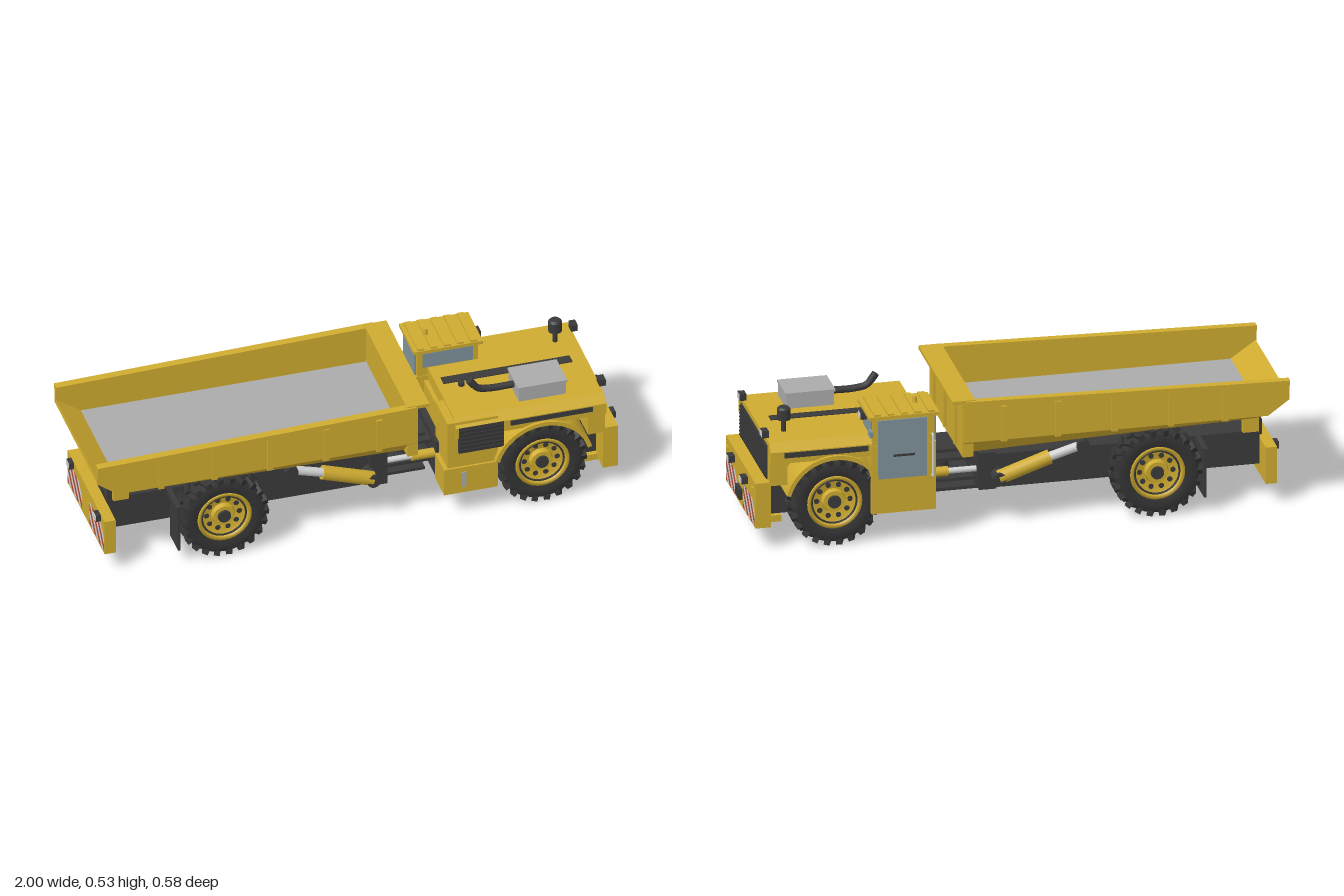
import * as THREE from 'three';

const mat = (name, color, side = THREE.FrontSide) => {
  const m = new THREE.MeshStandardMaterial({ color, side });
  m.name = name;
  return m;
};

export function createModel() {
  const gold = mat('gold paint', 0xcfab30), dark = mat('dark steel', 0x3a3a3b), rubber = mat('rubber', 0x343434);
  const grey = mat('grey steel', 0xababab), glass = mat('glass', 0x7f939b), pale = mat('pale metal', 0xd2d2d2);
  const red = mat('red', 0xb24c3a);
  const model = new THREE.Group();
  model.name = 'dumpTruck';
  const truck = new THREE.Group();
  truck.name = 'truck';
  truck.position.z = 0.01;
  model.add(truck);

  const add = (name, geo, m, parent = truck) => {
    const mesh = new THREE.Mesh(geo, m);
    mesh.name = name;
    parent.add(mesh);
    return mesh;
  };
  const box = (name, m, x0, x1, y0, y1, z0, z1) => {
    const mesh = add(name, new THREE.BoxGeometry(x1 - x0, y1 - y0, Math.abs(z1 - z0)), m);
    mesh.position.set((x0 + x1) / 2, (y0 + y1) / 2, (z0 + z1) / 2);
    return mesh;
  };
  // cylinder between two points
  const rod = (name, m, a, b, r, r2 = r, seg = 16) => {
    const p = new THREE.Vector3(...a), q = new THREE.Vector3(...b), d = q.clone().sub(p);
    const mesh = add(name, new THREE.CylinderGeometry(r2, r, d.length(), seg), m);
    mesh.position.copy(p).add(q).multiplyScalar(0.5);
    mesh.quaternion.setFromUnitVectors(new THREE.Vector3(0, 1, 0), d.normalize());
    return mesh;
  };
  const shape = pts => new THREE.Shape(pts.map(p => new THREE.Vector2(...p)));
  // side profile (x, y) extruded from z0 to z1
  const slab = (pts, z0, z1) =>
    new THREE.ExtrudeGeometry(shape(pts), { depth: z1 - z0, bevelEnabled: false }).translate(0, 0, z0);

  // Wheels: lathe tyre, slanted lugs, dished rim with holes and hub
  const wheel = (x, s) => {
    const g = new THREE.Group();
    g.name = x > 0 ? 'frontWheel' : 'rearWheel';
    g.position.set(x, 0.168, s * 0.21);
    if (s < 0) g.rotation.y = Math.PI;
    truck.add(g);
    const tyre = [[0.098, -0.04], [0.12, -0.047], [0.145, -0.046], [0.154, -0.038], [0.154, 0.038], [0.145, 0.046], [0.12, 0.047], [0.098, 0.04]];
    add('tyre', new THREE.LatheGeometry(tyre.map(p => new THREE.Vector2(...p)), 40).rotateX(Math.PI / 2), rubber, g);
    for (let i = 0; i < 22; i++) for (const k of [1, -1]) {
      const a = (i + (k > 0 ? 0.5 : 0)) / 22 * Math.PI * 2;
      const geo = new THREE.BoxGeometry(0.022, 0.022, 0.046).rotateY(k * 0.35).translate(0, 0.155, k * 0.025);
      add('treadLug', geo.rotateZ(a), rubber, g);
    }
    const rim = [[0, 0.018], [0.08, 0.018], [0.088, 0.04], [0.102, 0.043], [0.102, -0.043], [0, -0.043]];
    add('rim', new THREE.LatheGeometry(rim.map(p => new THREE.Vector2(...p)).reverse(), 32).rotateX(Math.PI / 2), gold, g);
    add('rimRing', new THREE.TorusGeometry(0.083, 0.004, 6, 32).translate(0, 0, 0.034), dark, g);
    for (let i = 0; i < 10; i++) {
      const a = i / 10 * Math.PI * 2;
      add('rimHole', new THREE.CylinderGeometry(0.01, 0.01, 0.006, 10).rotateX(Math.PI / 2)
        .translate(0.062 * Math.cos(a), 0.062 * Math.sin(a), 0.018), dark, g);
    }
    add('hub', new THREE.CylinderGeometry(0.04, 0.046, 0.02, 20).rotateX(Math.PI / 2).translate(0, 0, 0.026), gold, g);
    add('hubCap', new THREE.CylinderGeometry(0.024, 0.026, 0.02, 16).rotateX(Math.PI / 2).translate(0, 0, 0.034), dark, g);
  };

  // Warning panel of diagonal stripes, facing +x (dir 1) or -x (dir -1)
  const stripes = (x, y, z, dir) => {
    const W = 0.183, H = 0.097, step = 0.03;
    const low = c => [Math.min(c, W), Math.max(0, c - W)], high = c => [Math.max(0, c - H), Math.min(c, H)];
    for (let i = 0; i < 8; i++) {
      const a = i * step, b = a + step, pts = [low(a)];
      if (a < W && W < b) pts.push([W, 0]);
      pts.push(low(b), high(b));
      if (a < H && H < b) pts.push([0, H]);
      if (i) pts.push(high(a));
      const geo = new THREE.ShapeGeometry(shape(pts)).rotateY(dir * Math.PI / 2);
      add('warningStripe', geo, i % 2 ? pale : red).position.set(x, y, z);
    }
  };

  // Work lamp facing +x or -x
  const lamp = (x, y, z, dir = 1) => {
    box('lampHousing', dark, x - 0.012, x + 0.012, y - 0.013, y + 0.013, z - 0.018, z + 0.018);
    box('lampLens', pale, x + dir * 0.0125 - 0.002, x + dir * 0.0125 + 0.002, y - 0.01, y + 0.01, z - 0.015, z + 0.015);
    box('lampFoot', dark, x - 0.004, x + 0.004, y - 0.02, y - 0.012, z - 0.004, z + 0.004);
  };

  for (const x of [0.682, -0.515]) for (const s of [1, -1]) wheel(x, s);

  // Dump body: tapered underside, floor, walls, rails, ribs, chute and canopy
  const hull = slab([[-0.92, 0.365], [-0.89, 0.335], [0.205, 0.302], [0.205, 0.365]], -0.272, 0.272);
  const hp = hull.attributes.position;
  for (let i = 0; i < hp.count; i++) if (hp.getY(i) < 0.35) hp.setZ(i, hp.getZ(i) * 0.8);
  hull.computeVertexNormals();
  add('bodyUnderside', hull, gold);
  box('bodyFloor', grey, -0.908, 0.175, 0.364, 0.37, -0.262, 0.262);
  add('rearChute', slab([[-1, 0.42], [-0.92, 0.362], [-0.905, 0.371], [-0.998, 0.435]], -0.268, 0.268), gold);
  box('bodyFrontWall', gold, 0.17, 0.21, 0.302, 0.52, -0.262, 0.262);
  box('bodyCanopy', gold, 0.165, 0.25, 0.514, 0.527, -0.272, 0.272);
  for (const z of [-0.17, 0, 0.17]) box('frontWallRib', gold, 0.2, 0.222, 0.32, 0.515, z - 0.01, z + 0.01);
  for (const s of [1, -1]) {
    const [a, b] = s > 0 ? [0.26, 0.272] : [-0.272, -0.26];
    add('bodySide', slab([[-1, 0.49], [-1, 0.42], [-0.92, 0.362], [0.205, 0.362], [0.205, 0.522], [0.17, 0.52]], a, b), gold);
    const [c, d] = s > 0 ? [0.25, 0.28] : [-0.28, -0.25];
    add('bodyRail', slab([[-1, 0.476], [0.2, 0.507], [0.2, 0.524], [-1, 0.495]], c, d), gold);
    for (const x of [-0.76, -0.56, -0.35, -0.14, 0.06]) box('sideRib', gold, x - 0.011, x + 0.011, 0.358, 0.495, s * 0.268, s * 0.28);
  }

  // Rear chassis, bumper and tipping gear
  box('rearFrame', dark, -0.92, 0.1, 0.12, 0.25, -0.135, 0.135);
  box('rearAxle', dark, -0.56, -0.47, 0.12, 0.21, -0.2, 0.2);
  box('rearBumper', gold, -0.962, -0.92, 0.08, 0.222, -0.235, 0.235);
  for (const z of [-0.232, 0.05]) stripes(-0.9635, 0.09, z, -1);
  for (const z of [-0.17, 0.17]) lamp(-0.968, 0.208, z, -1);
  rod('bodyPivot', gold, [-0.89, 0.275, -0.13], [-0.89, 0.275, 0.13], 0.024);
  for (const s of [1, -1]) {
    box('pivotBracket', dark, -0.925, -0.86, 0.24, 0.3, s * 0.13, s * 0.15);
    box('pivotEar', gold, -0.91, -0.85, 0.26, 0.345, s * 0.152, s * 0.17);
    box('mudFlap', dark, -0.693, -0.685, 0.06, 0.25, s * 0.16, s * 0.262);
    box('mudFlapArm', dark, -0.7, -0.68, 0.225, 0.25, s * 0.13, s * 0.262);
    rod('tipRod', pale, [-0.25, 0.28, s * 0.19], [-0.1, 0.236, s * 0.19], 0.017);
    rod('tipBarrel', gold, [-0.13, 0.245, s * 0.19], [0.06, 0.18, s * 0.19], 0.027);
    rod('tipUpperPin', dark, [-0.25, 0.28, s * 0.16], [-0.25, 0.28, s * 0.215], 0.025);
    rod('tipLowerPin', dark, [0.06, 0.18, s * 0.13], [0.06, 0.18, s * 0.215], 0.025);
    rod('steerRod', pale, [0.11, 0.19, s * 0.11], [0.25, 0.19, s * 0.11], 0.011);
    rod('steerBarrel', gold, [0.23, 0.19, s * 0.11], [0.33, 0.19, s * 0.11], 0.018);
  }

  // Articulation joint
  box('jointBlock', dark, 0.06, 0.125, 0.125, 0.268, -0.16, 0.16);
  for (const y of [0.1, 0.135, 0.215, 0.25]) box('jointPlate', dark, 0.08, y > 0.12 && y < 0.24 ? 0.34 : 0.29, y, y + 0.012, -0.08, 0.08);
  rod('jointPin', dark, [0.23, 0.1, 0], [0.23, 0.262, 0], 0.028);

  // Front module: frame, engine box, hood and side boxes
  box('frontFrame', dark, 0.315, 0.917, 0.1, 0.255, -0.145, 0.145);
  box('frontAxle', dark, 0.64, 0.725, 0.12, 0.21, -0.2, 0.2);
  box('engineBox', gold, 0.34, 0.91, 0.25, 0.36, -0.15, 0.15);
  const hood = shape([[-0.26, 0.34], [0.26, 0.34], [0.26, 0.385], [0.23, 0.413], [-0.23, 0.413], [-0.26, 0.385]]);
  add('hood', new THREE.ExtrudeGeometry(hood, { depth: 0.565, bevelEnabled: false }).rotateY(Math.PI / 2).translate(0.355, 0, 0), gold);
  box('nose', gold, 0.855, 0.92, 0.25, 0.36, -0.245, 0.245);
  box('sideBox', gold, 0.325, 0.515, 0.1, 0.405, 0.1, 0.25);
  box('sideBoxStep', gold, 0.31, 0.51, 0.1, 0.21, 0.14, 0.258);
  box('sideLatch', grey, 0.375, 0.393, 0.125, 0.19, 0.257, 0.261);
  box('sideLouvrePanel', dark, 0.365, 0.535, 0.275, 0.385, 0.24, 0.262);
  for (let i = 0; i < 6; i++) box('sideLouvre', rubber, 0.368, 0.532, 0.283 + i * 0.017, 0.29 + i * 0.017, 0.26, 0.267);
  for (const s of [1, -1]) {
    box('hoodVent', dark, 0.56, 0.87, 0.361, 0.381, s * 0.256, s * 0.263);
    const arch = new THREE.Shape();
    arch.absarc(0, 0, 0.188, 0.26, Math.PI - 0.26, false);
    arch.absarc(0, 0, 0.172, Math.PI - 0.26, 0.26, true);
    add('frontFender', new THREE.ExtrudeGeometry(arch, { depth: 0.13, bevelEnabled: false, curveSegments: 24 }), gold)
      .position.set(0.682, 0.168, s > 0 ? 0.142 : -0.272);
  }

  // Grille, bumper and front markings
  box('grille', dark, 0.915, 0.925, 0.263, 0.393, -0.207, 0.207);
  for (let i = 0; i < 9; i++) box('grilleSlat', rubber, 0.922, 0.93, 0.27 + i * 0.0138, 0.276 + i * 0.0138, -0.204, 0.204);
  box('frontBumper', gold, 0.915, 0.972, 0.085, 0.26, -0.235, 0.235);
  box('skidPlate', gold, 0.86, 0.95, 0.075, 0.1, -0.165, 0.165);
  for (const z of [0.23, -0.045]) stripes(0.9735, 0.09, z, 1);
  box('towPlate', dark, 0.97, 0.985, 0.115, 0.155, -0.032, 0.035);
  for (const z of [0.104, -0.102]) lamp(0.985, 0.227, z);
  for (const z of [0.198, -0.197]) box('bumperMarker', gold, 0.971, 0.977, 0.22, 0.232, z - 0.013, z + 0.013);
  for (const z of [0.18, -0.177]) lamp(0.925, 0.432, z);

  // Hood top: air cleaner box, exhaust, intake, vent strip and cap
  box('cleanerBox', grey, 0.61, 0.787, 0.41, 0.468, 0.067, 0.197);
  box('cleanerLid', grey, 0.606, 0.791, 0.466, 0.474, 0.064, 0.2);
  const bend = new THREE.CatmullRomCurve3([[0.62, 0.445], [0.52, 0.445], [0.475, 0.455], [0.445, 0.492]].map(p => new THREE.Vector3(p[0], p[1], 0.128)));
  add('exhaust', new THREE.TubeGeometry(bend, 20, 0.013, 12), dark);
  rod('exhaustTip', dark, [0.46, 0.47, 0.128], [0.442, 0.495, 0.128], 0.014);
  rod('intakeStem', dark, [0.843, 0.41, -0.13], [0.843, 0.465, -0.13], 0.009);
  rod('intakeBowl', dark, [0.843, 0.46, -0.13], [0.843, 0.5, -0.13], 0.025);
  rod('intakeCap', dark, [0.843, 0.5, -0.13], [0.843, 0.508, -0.13], 0.025, 0.018);
  box('hoodStrip', dark, 0.38, 0.866, 0.41, 0.416, -0.025, 0.015);
  rod('fillerCap', dark, [0.44, 0.41, 0.038], [0.44, 0.428, 0.038], 0.012);

  // Cab with glazing, ribbed roof, beacon, mirror and handrail
  box('cabBase', gold, 0.31, 0.55, 0.115, 0.38, -0.27, -0.1);
  box('cabUpper', gold, 0.315, 0.545, 0.38, 0.488, -0.268, -0.102);
  box('frontWindow', glass, 0.544, 0.548, 0.413, 0.476, -0.256, -0.125);
  box('rearWindow', glass, 0.308, 0.313, 0.3, 0.476, -0.255, -0.115);
  box('rearWindowTop', glass, 0.312, 0.316, 0.38, 0.476, -0.255, -0.115);
  box('innerWindow', glass, 0.335, 0.525, 0.416, 0.476, -0.104, -0.1);
  box('doorGlass', glass, 0.345, 0.525, 0.25, 0.478, -0.274, -0.266);
  box('doorHandle', dark, 0.39, 0.47, 0.335, 0.343, -0.277, -0.273);
  box('roof', gold, 0.3, 0.56, 0.484, 0.497, -0.28, -0.09);
  for (let i = 0; i < 5; i++) box('roofRib', gold, 0.315 + i * 0.05, 0.34 + i * 0.05, 0.496, 0.504, -0.275, -0.095);
  rod('beacon', gold, [0.37, 0.5, -0.184], [0.37, 0.527, -0.184], 0.01, 0.007);
  lamp(0.562, 0.473, -0.184);
  box('mirrorArm', dark, 0.55, 0.558, 0.433, 0.44, -0.285, -0.25);
  box('mirror', glass, 0.55, 0.562, 0.426, 0.448, -0.3, -0.266);
  const rail = new THREE.CatmullRomCurve3([[0.41, -0.266], [0.41, -0.288], [0.25, -0.288], [0.25, -0.266]]
    .map(p => new THREE.Vector3(0.325, p[0], p[1])), false, 'catmullrom', 0.05);
  add('handrail', new THREE.TubeGeometry(rail, 32, 0.004, 8), pale);
  return model;
}
